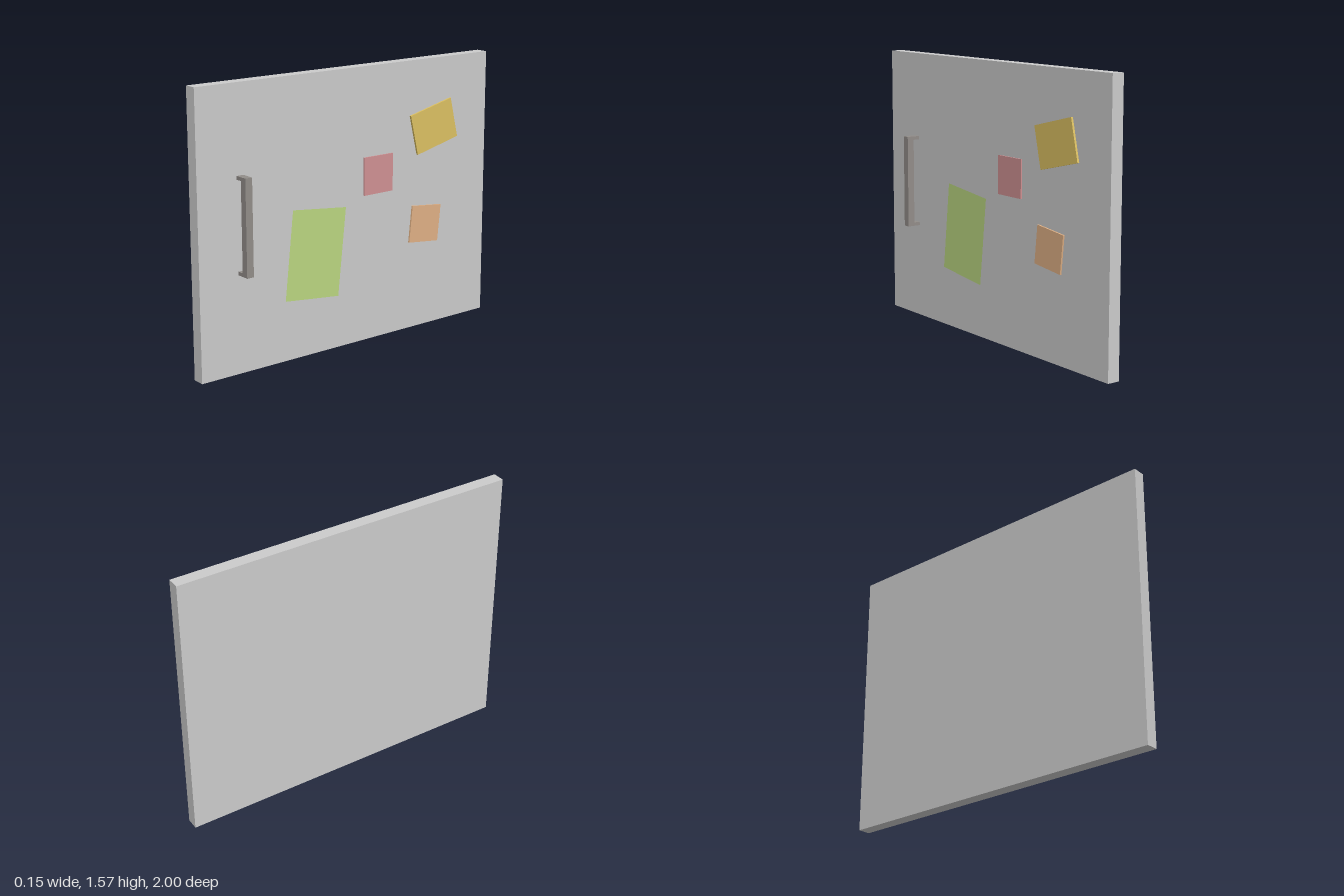
import * as THREE from 'three';

const material = (color) => new THREE.MeshStandardMaterial({ color, flatShading: true });

function addBox(group, name, color, [w, h, d], [x, y, z], tilt = 0) {
  const mesh = new THREE.Mesh(new THREE.BoxGeometry(w, h, d), material(color));
  mesh.name = name;
  mesh.position.set(x, y, z);
  mesh.rotation.x = tilt;
  group.add(mesh);
}

export function createModel() {
  const group = new THREE.Group();
  group.name = 'doorWithNotes';

  // Door slab
  addBox(group, 'doorPanel', 0xcccccc, [0.072, 1.565, 2], [-0.0415, 0.7825, 0]);

  // Thick notes pinned to the outer face
  addBox(group, 'yellowNote', 0xdcc062, [0.012, 0.235, 0.308], [0.008, 1.176, -0.587], 0.233);
  addBox(group, 'pinkNote', 0xd09193, [0.008, 0.215, 0.205], [0.002, 0.953, -0.183]);
  addBox(group, 'orangeNote', 0xdfb085, [0.01, 0.214, 0.216], [0.004, 0.613, -0.53], -0.108);

  // Flat paper sheet lying on the face
  const sheet = new THREE.Mesh(new THREE.PlaneGeometry(0.362, 0.503), material(0xbad680));
  sheet.name = 'greenSheet';
  sheet.material.side = THREE.DoubleSide;
  sheet.geometry.rotateY(Math.PI / 2);
  sheet.position.set(-0.003, 0.57, 0.25);
  sheet.rotation.x = -0.11;
  group.add(sheet);

  // Pull handle: a bracket outline with a thick grip and two thin posts
  const low = 0.547, high = 1.08, post = 0.02;
  const outline = new THREE.Shape([
    [-0.006, low], [0.073, low], [0.073, high], [-0.006, high],
    [-0.006, high - post], [0.032, high - post], [0.032, low + post], [-0.006, low + post],
  ].map(([x, y]) => new THREE.Vector2(x, y)));
  const handle = new THREE.Mesh(
    new THREE.ExtrudeGeometry(outline, { depth: 0.042, bevelEnabled: false }),
    material(0x928d89)
  );
  handle.name = 'handle';
  handle.position.z = 0.715;
  group.add(handle);

  // The door hangs very slightly off square
  group.rotation.y = 0.0025;
  return group;
}
